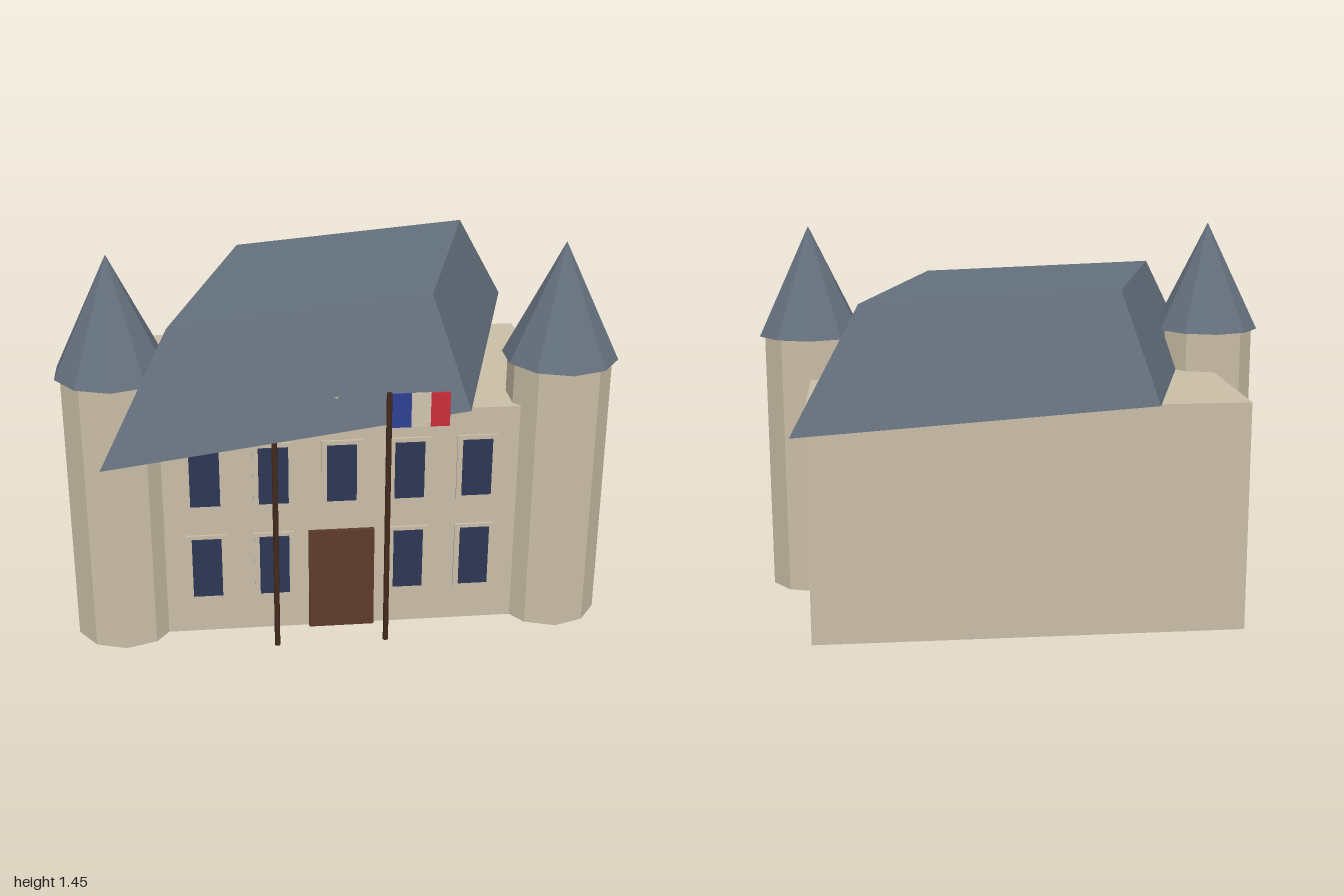
import * as THREE from 'three';

const paint = (name, color) => {
  const m = new THREE.MeshStandardMaterial({ color });
  m.name = name;
  return m;
};

// faceted normals for low-poly shapes
const flat = (geometry) => {
  const g = geometry.toNonIndexed();
  g.computeVertexNormals();
  return g;
};

export function createModel() {
  const stone = paint('stone', 0xc9bda6);
  const slate = paint('slate', 0x64707d);
  const glass = paint('glass', 0x2e3654);
  const wood = paint('wood', 0x5c3a29);
  const darkWood = paint('darkWood', 0x432a1e);
  const blue = paint('flagBlue', 0x2f3f92);
  const red = paint('flagRed', 0xc82f3a);
  const cream = paint('flagCream', 0xcfc4ae);

  const model = new THREE.Group();
  model.name = 'manor';

  const add = (parent, name, geometry, material, x, y, z) => {
    const mesh = new THREE.Mesh(geometry, material);
    mesh.name = name;
    mesh.position.set(x, y, z);
    parent.add(mesh);
    return mesh;
  };
  const box = (w, h, d) => new THREE.BoxGeometry(w, h, d);
  const group = (name) => {
    const g = new THREE.Group();
    g.name = name;
    model.add(g);
    return g;
  };

  // main block
  add(model, 'walls', box(1.6, 0.865, 0.86), stone, 0, 0.4325, 0);

  // rhombus-plan roof with a flat top: stretched four-sided frustum, then turned
  const roof = new THREE.CylinderGeometry(0.723, 1, 0.4, 4);
  roof.scale(0.83 * Math.SQRT2, 1, 0.46 * Math.SQRT2);
  roof.rotateY(Math.PI / 4);
  add(model, 'roof', flat(roof), slate, 0, 1.065, 0);

  // ten-sided corner towers
  for (const [name, x] of [['leftTower', 0.8], ['rightTower', -0.8]]) {
    const tower = group(name);
    add(tower, 'towerWall', flat(new THREE.CylinderGeometry(0.187, 0.187, 1.02, 10)), stone, x, 0.51, 0.34);
    add(tower, 'towerRoof', flat(new THREE.ConeGeometry(0.208, 0.425, 10)), slate, x, 1.2325, 0.34);
  }

  // two rows of windows, the door taking the middle of the lower row
  const windows = group('windows');
  const rows = [
    { y: 0.271, frame: 0.262, pane: 0.233 },
    { y: 0.634, frame: 0.252, pane: 0.22 },
  ];
  rows.forEach((row, r) => {
    for (let i = -2; i <= 2; i++) {
      if (r === 0 && i === 0) continue;
      const x = i * 0.247;
      add(windows, 'windowFrame', box(0.147, row.frame, 0.014), stone, x, row.y, 0.432);
      add(windows, 'windowPane', box(0.108, row.pane, 0.008), glass, x, row.y, 0.442);
    }
  });
  add(model, 'door', box(0.242, 0.402, 0.02), wood, 0, 0.201, 0.436);

  // flagpoles
  const poleZ = 0.556;
  for (const x of [-0.248, 0.152]) {
    add(model, 'flagpole', new THREE.CylinderGeometry(0.01, 0.01, 0.987, 8), darkWood, x, 0.4935, poleZ);
  }

  // flag with three upright bands
  const bandFlag = group('bandFlag');
  [blue, cream, red].forEach((m, i) => {
    add(bandFlag, 'flagBand', box(0.068, 0.127, 0.006), m, 0.196 + i * 0.068, 0.9185, poleZ - 0.003);
  });

  // flag with two level stripes, mostly under the eaves
  const stripeFlag = group('stripeFlag');
  [red, cream].forEach((m, i) => {
    add(stripeFlag, 'flagStripe', box(0.214, 0.0645, 0.006), m, -0.134, 0.883 + i * 0.0645, poleZ - 0.003);
  });

  return model;
}
